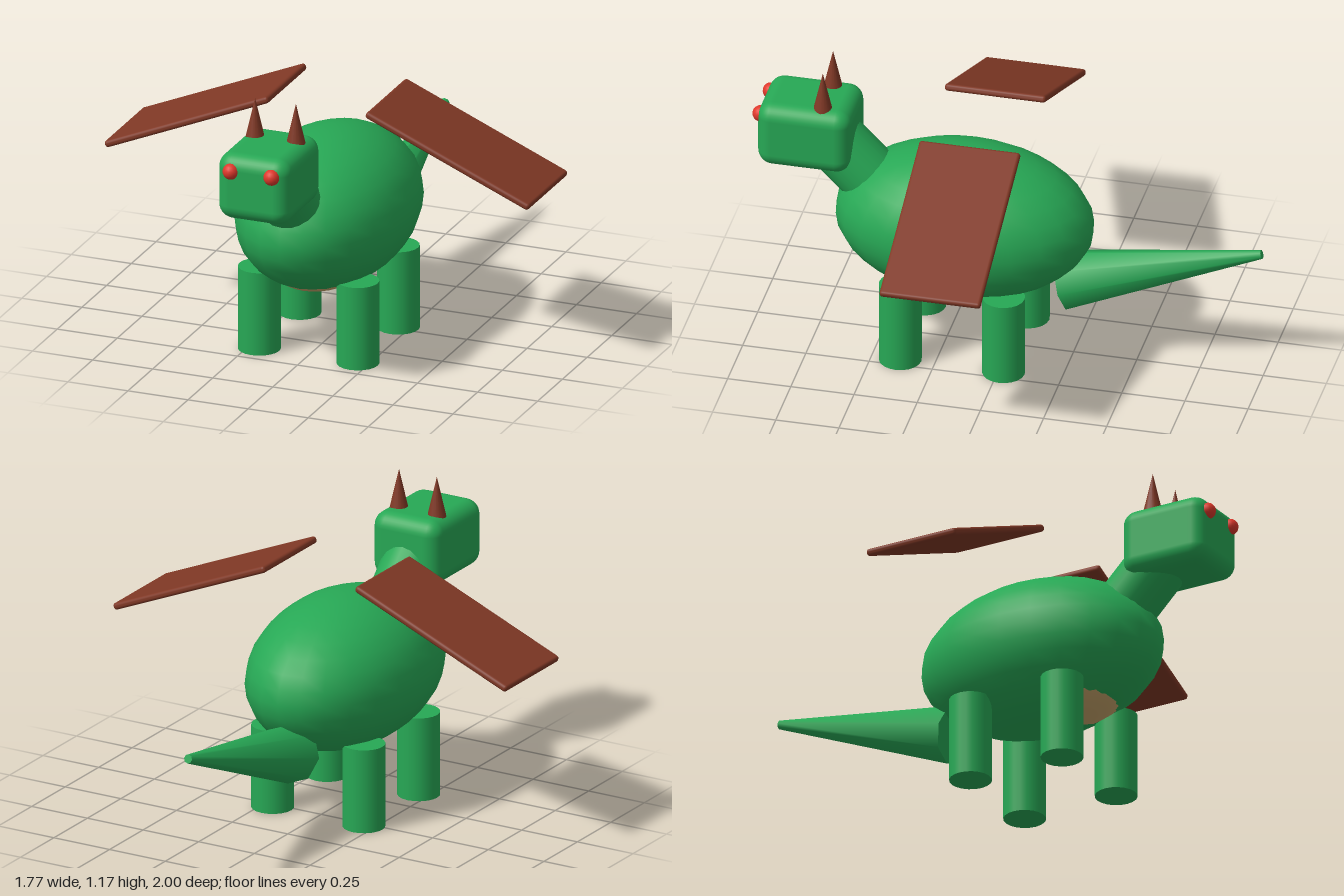
import * as THREE from 'three';
import { RoundedBoxGeometry } from 'three/addons/geometries/RoundedBoxGeometry.js';

const paint = (name, color) => {
  const m = new THREE.MeshStandardMaterial({ color });
  m.name = name;
  return m;
};

export function createModel() {
  const green = paint('scale green', 0x27a855);
  const brown = paint('wing brown', 0x803825);
  const red = paint('eye red', 0xe0382b);
  const tan = paint('belly tan', 0xc9a66b);

  const model = new THREE.Group();
  model.name = 'dragon';

  const add = (name, geometry, material, x, y, z) => {
    const mesh = new THREE.Mesh(geometry, material);
    mesh.name = name;
    mesh.position.set(x, y, z);
    model.add(mesh);
    return mesh;
  };

  // Tapered round limb between two points
  const limb = (name, from, to, rFrom, rTo, sides) => {
    const a = new THREE.Vector3(...from), b = new THREE.Vector3(...to);
    const dir = b.clone().sub(a);
    const mid = a.add(b).multiplyScalar(0.5);
    const mesh = add(name, new THREE.CylinderGeometry(rTo, rFrom, dir.length(), sides), green, mid.x, mid.y, mid.z);
    mesh.quaternion.setFromUnitVectors(new THREE.Vector3(0, 1, 0), dir.normalize());
  };

  // Egg-shaped body with a belly patch just breaking through underneath
  add('body', new THREE.SphereGeometry(1, 24, 16), green, 0, 0.55, 0.18).scale.set(0.335, 0.302, 0.508);
  add('belly', new THREE.SphereGeometry(1, 24, 16), tan, 0, 0.43, 0.3).scale.set(0.23, 0.172, 0.26);

  // Neck, head and tail
  limb('neck', [0, 0.64, 0.51], [0, 0.9, 0.77], 0.12, 0.12, 20);
  add('head', new RoundedBoxGeometry(0.3, 0.27, 0.37, 4, 0.06), green, 0, 0.885, 0.79);
  limb('tail', [0, 0.322, -0.215], [0, 0.548, -0.995], 0.12, 0.018, 8);

  for (const [side, s] of [['left', 1], ['right', -1]]) {
    add(side + 'Eye', new THREE.SphereGeometry(0.032, 16, 12), red, s * 0.085, 0.957, 0.968);
    add(side + 'Horn', new THREE.ConeGeometry(0.038, 0.165, 16), brown, s * 0.085, 1.09, 0.722);

    // Flat wing sloping down and outward
    const wing = add(side + 'Wing', new RoundedBoxGeometry(0.737, 0.028, 0.4, 2, 0.012), brown, s * 0.543, 0.852, 0.11);
    wing.rotation.z = -s * 0.4;

    for (const [end, z] of [['Front', 0.387], ['Back', -0.022]]) {
      add(side + end + 'Leg', new THREE.CylinderGeometry(0.083, 0.083, 0.34, 20), green, s * 0.205, 0.17, z);
    }
  }

  return model;
}
